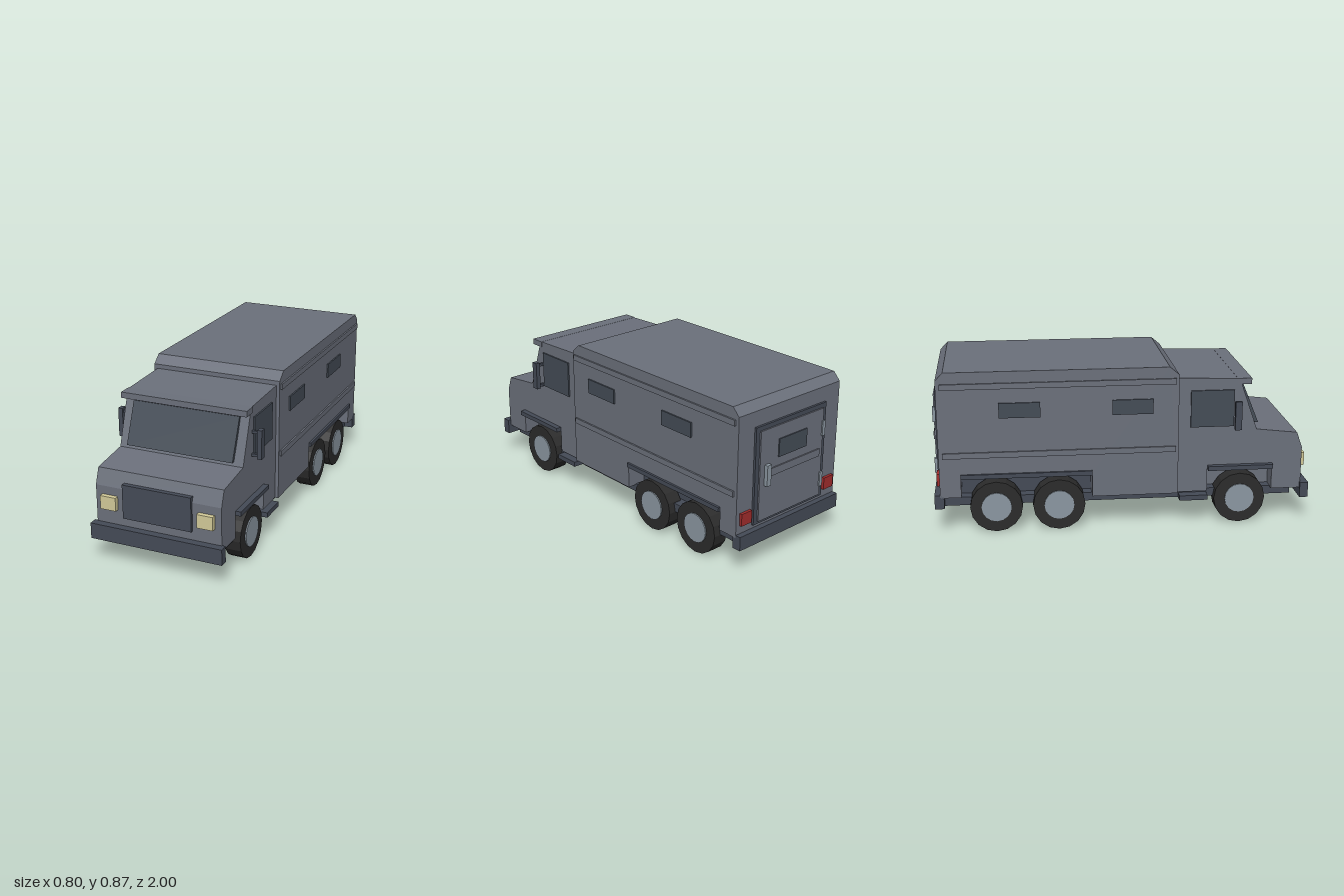
import * as THREE from 'three';

const material = (name, color) => {
  const m = new THREE.MeshStandardMaterial({ color, flatShading: true });
  m.name = name;
  return m;
};

export function createModel() {
  const armour = material('armour grey', 0x6b707b);
  const trim = material('dark trim', 0x444a56);
  const glass = material('dark glass', 0x444c56);
  const rubber = material('tyre black', 0x2b2b2b);
  const steel = material('hub steel', 0x8b97a1);
  const lamp = material('headlight cream', 0xd2ca98);
  const red = material('taillight red', 0xa02c2c);

  const model = new THREE.Group();
  model.name = 'armouredTruck';

  const add = (name, geometry, mat) => {
    const mesh = new THREE.Mesh(geometry, mat);
    mesh.name = name;
    model.add(mesh);
    return mesh;
  };
  // Box given by its limits on each axis
  const box = (name, mat, [x0, x1], [y0, y1], [z0, z1]) => {
    const g = new THREE.BoxGeometry(x1 - x0, y1 - y0, z1 - z0);
    g.translate((x0 + x1) / 2, (y0 + y1) / 2, (z0 + z1) / 2);
    return add(name, g, mat);
  };
  // The same box on both sides of the truck
  const pair = (name, mat, [x0, x1], y, z) => {
    box(name + 'Left', mat, [x0, x1], y, z);
    box(name + 'Right', mat, [-x1, -x0], y, z);
  };
  // Side profile of (z, y) points, extruded across the width
  const profile = (name, mat, halfWidth, points) => {
    const shape = new THREE.Shape(points.map(([z, y]) => new THREE.Vector2(z, y)));
    const g = new THREE.ExtrudeGeometry(shape, { depth: halfWidth * 2, bevelEnabled: false });
    g.rotateY(-Math.PI / 2);
    g.translate(halfWidth, 0, 0);
    return add(name, g, mat);
  };

  // Cargo body with sloped roof ends and a tandem wheel arch
  profile('cargoBody', armour, 0.358, [
    [0.29, 0.18], [0.29, 0.83], [0.24, 0.872], [-0.92, 0.872], [-0.96, 0.83],
    [-0.96, 0.2], [-0.85, 0.2], [-0.85, 0.31], [-0.165, 0.31], [-0.165, 0.18],
  ]);
  // Cab with hood, raked windscreen face and front wheel arch
  profile('cab', armour, 0.34, [
    [0.29, 0.18], [0.45, 0.18], [0.45, 0.31], [0.8, 0.31], [0.8, 0.18], [0.96, 0.18],
    [0.96, 0.41], [0.93, 0.492], [0.71, 0.518], [0.622, 0.77], [0.605, 0.797], [0.29, 0.807],
  ]);
  box('frontArchLining', armour, [-0.25, 0.25], [0.17, 0.31], [0.45, 0.8]);
  box('rearArchLining', trim, [-0.25, 0.25], [0.17, 0.31], [-0.85, -0.165]);
  box('chassis', trim, [-0.31, 0.31], [0.14, 0.185], [-0.95, 0.91]);

  // Bumpers, grille and lights
  box('frontBumper', trim, [-0.358, 0.358], [0.13, 0.213], [0.955, 1]);
  box('rearBumper', trim, [-0.358, 0.358], [0.14, 0.215], [-0.99, -0.94]);
  box('grille', trim, [-0.186, 0.186], [0.26, 0.44], [0.95, 0.975]);
  pair('headlight', lamp, [0.22, 0.305], [0.295, 0.366], [0.95, 0.985]);
  pair('taillight', red, [0.265, 0.335], [0.26, 0.325], [-0.975, -0.955]);

  // Cab glazing, visor and mirrors
  profile('windscreen', glass, 0.291, [[0.71, 0.54], [0.728, 0.54], [0.642, 0.752], [0.622, 0.752]]);
  box('sunVisor', armour, [-0.344, 0.344], [0.767, 0.798], [0.6, 0.675]);
  pair('cabWindow', glass, [0.338, 0.348], [0.54, 0.738], [0.355, 0.585]);
  pair('mirror', trim, [0.374, 0.398], [0.532, 0.685], [0.582, 0.617]);
  for (const y of [0.545, 0.667])
    pair('mirrorArm', trim, [0.335, 0.376], [y - 0.007, y + 0.007], [0.59, 0.605]);

  // Side strips, slit windows, wheel arch flares and steps
  for (const y of [0.43, 0.797])
    pair('sideStrip', armour, [0.355, 0.367], [y - 0.015, y + 0.015], [-0.94, 0.275]);
  for (const z of [0.048, -0.538])
    pair('slitWindow', glass, [0.357, 0.366], [0.627, 0.706], [z - 0.107, z + 0.107]);
  pair('frontFlare', trim, [0.33, 0.37], [0.302, 0.326], [0.45, 0.8]);
  pair('rearFlare', trim, [0.345, 0.37], [0.302, 0.326], [-0.85, -0.165]);
  pair('step', trim, [0.305, 0.364], [0.138, 0.165], [0.3, 0.45]);

  // Rear door with frame, window, bar, handle and hinges
  box('doorFrame', trim, [-0.25, 0.25], [0.235, 0.75], [-0.972, -0.955]);
  box('rearDoor', armour, [-0.225, 0.225], [0.25, 0.727], [-0.98, -0.96]);
  box('doorWindow', glass, [-0.1, 0.1], [0.56, 0.655], [-0.986, -0.978]);
  box('doorBar', armour, [-0.2, 0.19], [0.475, 0.515], [-0.987, -0.97]);
  box('doorHandle', steel, [0.165, 0.193], [0.435, 0.545], [-1, -0.975]);
  for (const y of [0.34, 0.62])
    box('doorHinge', steel, [-0.234, -0.214], [y - 0.04, y + 0.04], [-0.987, -0.965]);

  // Wheels: tyre with a hub showing on both faces
  for (const [axle, z] of [['front', 0.625], ['middle', -0.34], ['rear', -0.67]]) {
    for (const side of [1, -1]) {
      const wheel = new THREE.Group();
      wheel.name = axle + 'Wheel' + (side > 0 ? 'Left' : 'Right');
      wheel.position.set(side * 0.306, 0.138, z);
      for (const [name, r, w, sides, mat] of [
        ['tyre', 0.138, 0.085, 16, rubber],
        ['hub', 0.079, 0.098, 16, steel],
      ]) {
        const g = new THREE.CylinderGeometry(r, r, w, sides);
        g.rotateZ(Math.PI / 2);
        const mesh = new THREE.Mesh(g, mat);
        mesh.name = name;
        wheel.add(mesh);
      }
      model.add(wheel);
    }
  }
  return model;
}
